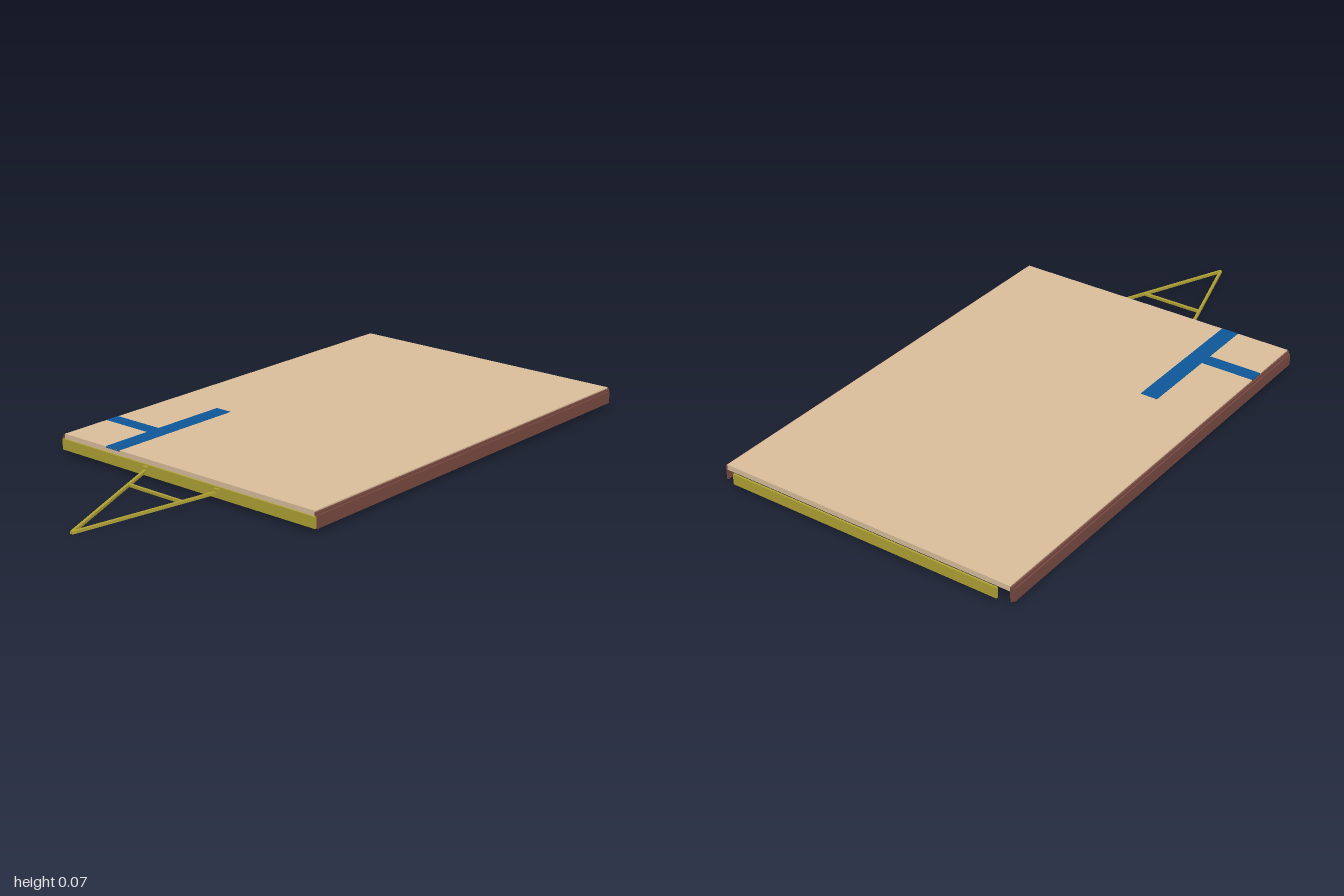
import * as THREE from 'three';

const mat = (color) => new THREE.MeshStandardMaterial({ color, flatShading: true });

export function createModel() {
  const root = new THREE.Group();
  const tan = mat(0xd9bd9b), blue = mat(0x0d5798), olive = mat(0xaea034), brown = mat(0x75483f);

  // Box given by its limits on each axis
  function slab(name, material, [x0, x1], [y0, y1], [z0, z1]) {
    const mesh = new THREE.Mesh(new THREE.BoxGeometry(x1 - x0, y1 - y0, z1 - z0), material);
    mesh.position.set((x0 + x1) / 2, (y0 + y1) / 2, (z0 + z1) / 2);
    mesh.name = name;
    root.add(mesh);
  }

  // Square bar between two points
  function bar(name, a, b, size) {
    const from = new THREE.Vector3(...a), to = new THREE.Vector3(...b);
    const mesh = new THREE.Mesh(new THREE.BoxGeometry(size, size, from.distanceTo(to)), olive);
    mesh.position.copy(from).add(to).multiplyScalar(0.5);
    mesh.lookAt(to);
    mesh.name = name;
    root.add(mesh);
  }

  const left = -0.545, right = 0.985, half = 0.515;

  // Deck sheet with a shallow turned-down lip, open underneath
  slab('deck', tan, [left, right], [0.067, 0.07], [-half, half]);
  slab('deckLipHitchEnd', tan, [left, left + 0.003], [0.052, 0.067], [-half, half]);
  slab('deckLipTailEnd', tan, [right - 0.003, right], [0.052, 0.067], [-half, half]);

  // Long sides: lip and skirt board with an outer rail
  for (const s of [-1, 1]) {
    const span = (a, b) => [Math.min(s * a, s * b), Math.max(s * a, s * b)];
    slab('deckLipSide', tan, [left, right], [0.052, 0.067], span(half - 0.003, half));
    slab('sideSkirt', brown, [left, right], [0.018, 0.066], span(half, 0.521));
    slab('sideRail', brown, [left, right - 0.005], [0.018, 0.058], span(0.521, 0.526));
  }

  // T-shaped inlay, passing through the deck sheet
  const tee = new THREE.Shape([
    [-0.545, 0.27], [-0.045, 0.27], [-0.045, 0.33], [-0.315, 0.33],
    [-0.315, half], [-0.365, half], [-0.365, 0.33], [-0.545, 0.33],
  ].map(([x, y]) => new THREE.Vector2(x, y)));
  const inlay = new THREE.Mesh(
    new THREE.ExtrudeGeometry(tee, { depth: 0.005, bevelEnabled: false }), blue);
  inlay.rotation.x = -Math.PI / 2;
  inlay.position.y = 0.066;
  inlay.name = 'inlay';
  root.add(inlay);

  // End beams
  slab('hitchEndBeam', olive, [-0.551, left], [0.018, 0.054], [-0.521, 0.521]);
  slab('tailBoard', olive, [0.993, 1], [0.022, 0.058], [-0.48, 0.48]);

  // A-frame drawbar with hinge blocks and a cross bar
  for (const s of [-1, 1]) {
    bar('drawbarArm', [-0.996, 0.006, 0], [-0.55, 0.038, s * 0.148], 0.009);
    slab('drawbarHinge', olive, [-0.561, -0.55], [0.028, 0.05], [s * 0.148 - 0.009, s * 0.148 + 0.009]);
  }
  bar('drawbarCrossBar', [-0.663, 0.03, -0.11], [-0.663, 0.03, 0.11], 0.009);

  return root;
}
